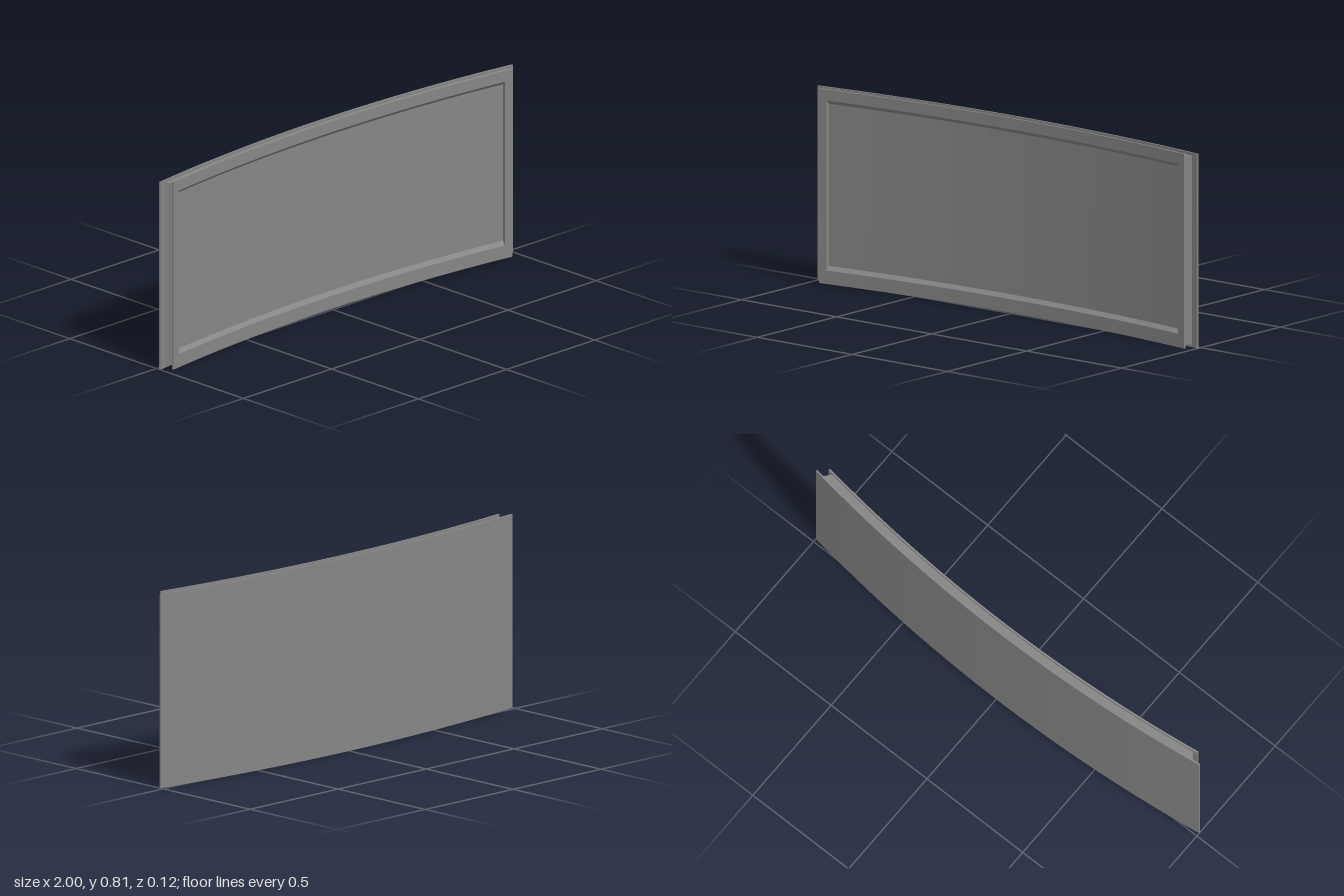
import * as THREE from 'three';
import { toCreasedNormals } from 'three/addons/utils/BufferGeometryUtils.js';

const R = 6.9;           // radius of the rear surface
const Z_BACK = -0.058;   // z of the rear surface in the middle
const H = 0.805;         // panel height
const SEGMENTS = 32;

// Depths measured inwards from the rear surface
const SKIN = 0.007, RECESS = 0.0325, FLANGE = 0.0405, FRONT = 0.0485;
// Half widths measured along the rear arc
const BACK_END = 1.0035, FLANGE_END = 0.971, CORE_END = 0.975, OPENING = 0.934;
const INSET = 0.012;     // edge groove between the two skins
const CORE_SLANT = 0.6;  // the core narrows towards the front

const material = new THREE.MeshStandardMaterial({ color: 0x868686 });

// Sweeps a (depth, y) profile along the arc from a to b; slant draws in the outer ends with depth
function sweep(name, profile, a, b, slant = 0) {
  const shape = new THREE.Shape(profile.map(([d, y]) => new THREE.Vector2(d, y)));
  const steps = Math.max(1, Math.round(SEGMENTS * (b - a) / 2));
  const geometry = new THREE.ExtrudeGeometry(shape, { depth: b - a, steps, bevelEnabled: false });
  const p = geometry.attributes.position;
  for (let i = 0; i < p.count; i++) {
    const depth = p.getX(i);
    let s = b - p.getZ(i);
    if (Math.abs(s) > OPENING + 0.01) s -= Math.sign(s) * slant * depth;
    const r = R - depth;
    p.setXYZ(i, r * Math.sin(s / R), p.getY(i), Z_BACK + R - r * Math.cos(s / R));
  }
  const mesh = new THREE.Mesh(toCreasedNormals(geometry, 0.2), material);
  mesh.name = name;
  return mesh;
}

const rect = (d0, d1, y0, y1) => [[d0, y0], [d1, y0], [d1, y1], [d0, y1]];

export function createModel() {
  const group = new THREE.Group();
  group.name = 'curvedPanel';

  // Wide rear skin and the core whose front is the recessed field
  group.add(sweep('backSkin', rect(0, SKIN, 0, H), -BACK_END, BACK_END));
  group.add(sweep('core', rect(SKIN, RECESS, INSET, H - INSET), -CORE_END, CORE_END, CORE_SLANT));

  // Frame rails with a sloping inner edge and a grooved outer edge
  const rail = (edge, inner, outer, slope) => [
    [RECESS, inner], [FLANGE, inner], [FLANGE, edge], [FRONT, edge], [FRONT, outer], [RECESS, slope],
  ];
  group.add(sweep('bottomRail', rail(0, INSET, 0.056, 0.072), -OPENING, OPENING));
  group.add(sweep('topRail', rail(H, H - INSET, 0.759, 0.743), -OPENING, OPENING));

  // Frame stiles on both sides: core strip and overhanging front flange
  for (const [side, s] of [['left', 1], ['right', -1]]) {
    const span = (end) => (s > 0 ? [OPENING, end] : [-end, -OPENING]);
    group.add(sweep(side + 'StileCore', rect(RECESS, FLANGE, INSET, H - INSET), ...span(CORE_END), CORE_SLANT));
    group.add(sweep(side + 'StileFlange', rect(FLANGE, FRONT, 0, H), ...span(FLANGE_END)));
  }
  return group;
}
